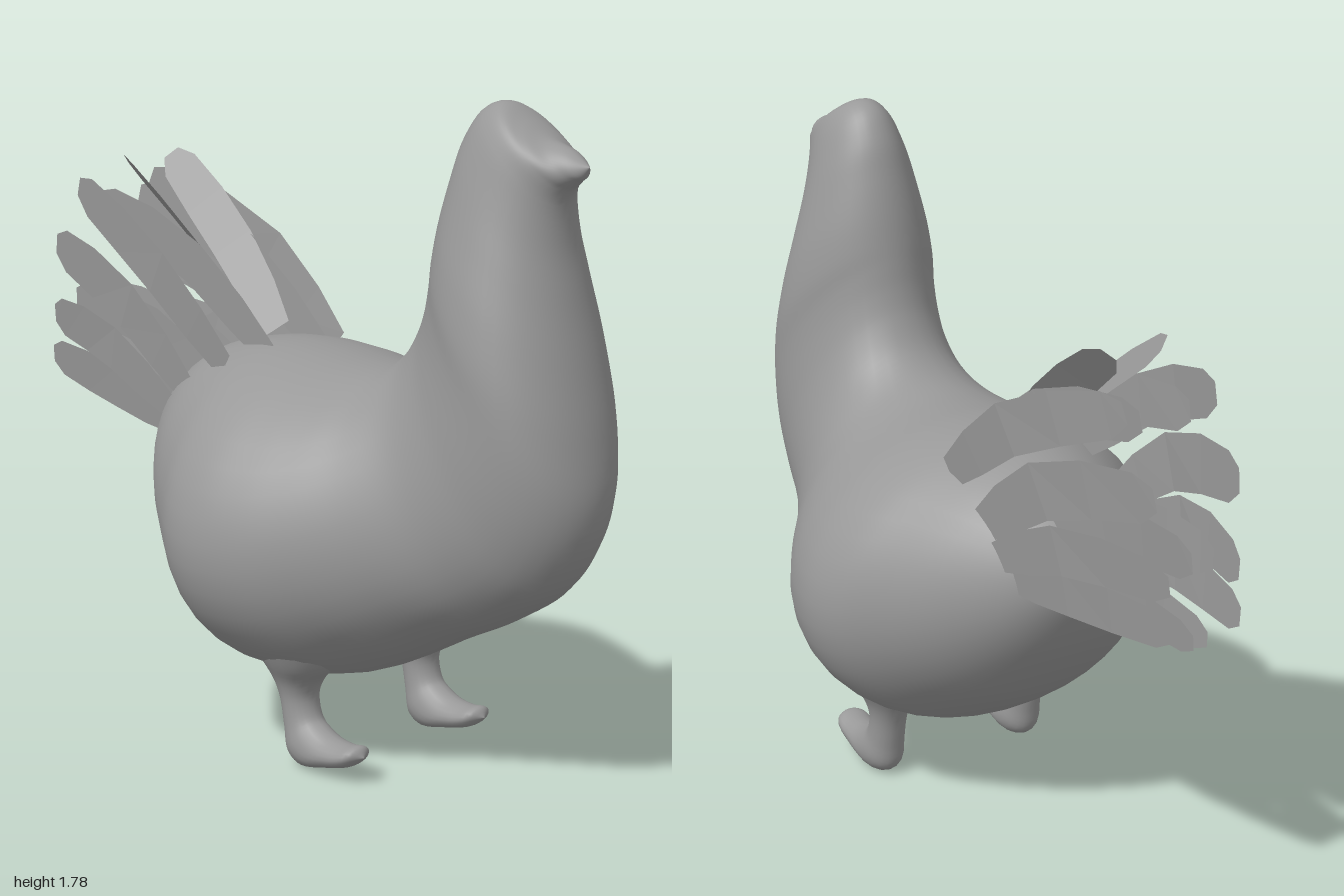
import * as THREE from 'three';

const grey = new THREE.MeshStandardMaterial({ color: 0x999999 });
const featherGrey = new THREE.MeshStandardMaterial({ color: 0x999999, flatShading: true, side: THREE.DoubleSide });

// Skin over rings. Each ring: [topX, topY, bottomX, bottomY, halfWidth].
// A ring spans its top and bottom points; pear widens its lower half.
function ringSkin(rings, steps, sides, pear) {
  const tops = new THREE.CatmullRomCurve3(rings.map(r => new THREE.Vector3(r[0], r[1], r[4])));
  const bottoms = new THREE.CatmullRomCurve3(rings.map(r => new THREE.Vector3(r[2], r[3], 0)));
  const pos = [], index = [];
  for (let i = 0; i <= steps; i++) {
    const t = tops.getPoint(i / steps), b = bottoms.getPoint(i / steps);
    for (let j = 0; j < sides; j++) {
      const a = (j / sides) * Math.PI * 2, s = Math.sin(a);
      pos.push(
        (t.x + b.x) / 2 + (t.x - b.x) / 2 * s,
        (t.y + b.y) / 2 + (t.y - b.y) / 2 * s,
        Math.max(t.z, 0) * Math.cos(a) * (1 - pear * s)
      );
      if (i < steps) {
        const k = (j + 1) % sides, p = i * sides + j, q = i * sides + k;
        index.push(p, p + sides, q, q, p + sides, q + sides);
      }
    }
  }
  const g = new THREE.BufferGeometry();
  g.setAttribute('position', new THREE.Float32BufferAttribute(pos, 3));
  g.setIndex(index);
  g.computeVertexNormals();
  return g;
}

// Thin curved blade along root, middle and tip; roll turns its width towards z.
function featherBlade(root, mid, tip, width, roll) {
  const curve = new THREE.CatmullRomCurve3([root, mid, tip].map(p => new THREE.Vector3(...p)));
  const profile = [[0, 0.6], [0.2, 0.88], [0.45, 1], [0.7, 1], [0.92, 0.85], [1, 0.4]];
  const pos = [], index = [];
  profile.forEach(([t, w], i) => {
    const p = curve.getPoint(t), d = curve.getTangent(t);
    const across = new THREE.Vector3(-d.y, d.x, 0).normalize().multiplyScalar(Math.cos(roll));
    across.z = Math.sin(roll);
    across.multiplyScalar(width * w / 2);
    pos.push(p.x + across.x, p.y + across.y, p.z + across.z);
    pos.push(p.x - across.x, p.y - across.y, p.z - across.z);
    if (i > 0) index.push(2 * i - 2, 2 * i - 1, 2 * i, 2 * i - 1, 2 * i + 1, 2 * i);
  });
  const g = new THREE.BufferGeometry();
  g.setAttribute('position', new THREE.Float32BufferAttribute(pos, 3));
  g.setIndex(index);
  g.computeVertexNormals();
  return g;
}

export function createModel() {
  const model = new THREE.Group();
  model.name = 'bird';
  const add = (name, geometry, material, parent = model) => {
    const mesh = new THREE.Mesh(geometry, material);
    mesh.name = name;
    parent.add(mesh);
    return mesh;
  };

  // Body, neck, head and beak as one skin, from the rump to the beak tip
  add('body', ringSkin([
    [-0.49, 0.77, -0.49, 0.77, 0],
    [-0.47, 0.86, -0.47, 0.70, 0.10],
    [-0.42, 0.94, -0.40, 0.56, 0.20],
    [-0.30, 1.02, -0.27, 0.40, 0.32],
    [-0.15, 1.06, -0.13, 0.29, 0.42],
    [-0.04, 1.07, 0.00, 0.22, 0.49],
    [0.08, 1.065, 0.12, 0.21, 0.51],
    [0.18, 1.055, 0.28, 0.235, 0.48],
    [0.27, 1.055, 0.42, 0.30, 0.42],
    [0.35, 1.08, 0.58, 0.39, 0.335],
    [0.42, 1.14, 0.75, 0.48, 0.265],
    [0.465, 1.22, 0.89, 0.58, 0.235],
    [0.487, 1.29, 0.97, 0.70, 0.225],
    [0.50, 1.36, 1.00, 0.82, 0.22],
    [0.51, 1.42, 0.985, 0.98, 0.218],
    [0.525, 1.50, 0.95, 1.15, 0.20],
    [0.55, 1.60, 0.91, 1.32, 0.167],
    [0.58, 1.69, 0.885, 1.45, 0.137],
    [0.63, 1.76, 0.885, 1.55, 0.11],
    [0.69, 1.78, 0.90, 1.585, 0.092],
    [0.76, 1.745, 0.915, 1.60, 0.075],
    [0.83, 1.705, 0.93, 1.612, 0.053],
    [0.90, 1.685, 0.945, 1.622, 0.032],
    [0.96, 1.65, 0.96, 1.65, 0]
  ], 110, 40, 0.06), grey);

  // Legs: flared thigh, shank and a blunt foot pointing forward
  const leg = ringSkin([
    [0.36, 0.40, 0.00, 0.40, 0.15],
    [0.30, 0.29, 0.07, 0.30, 0.10],
    [0.25, 0.235, 0.115, 0.23, 0.065],
    [0.235, 0.19, 0.135, 0.18, 0.053],
    [0.25, 0.14, 0.15, 0.10, 0.052],
    [0.28, 0.12, 0.165, 0.03, 0.058],
    [0.32, 0.105, 0.21, 0.004, 0.058],
    [0.37, 0.10, 0.30, 0.02, 0.053],
    [0.41, 0.105, 0.39, 0.048, 0.045],
    [0.43, 0.08, 0.43, 0.08, 0]
  ], 40, 20, 0);
  for (const [name, z] of [['leftLeg', 0.22], ['rightLeg', -0.22]]) {
    add(name, leg, grey).position.z = z;
  }

  // Tail feathers, mirrored across the z = 0 plane
  const tail = new THREE.Group();
  tail.name = 'tail';
  model.add(tail);
  const feathers = [
    // root, middle, tip, width, roll
    [[-0.18, 1.07, 0.03], [-0.42, 1.29, 0.06], [-0.68, 1.48, 0.08], 0.12, 0.75],
    [[-0.08, 1.03, 0.09], [-0.42, 1.25, 0.09], [-0.81, 1.35, 0.07], 0.13, 0.05],
    [[-0.13, 1.01, 0.20], [-0.44, 1.24, 0.20], [-0.83, 1.39, 0.13], 0.14, 0.1],
    [[-0.29, 0.92, 0.20], [-0.58, 1.12, 0.19], [-0.95, 1.21, 0.12], 0.15, 0.1],
    [[-0.36, 0.92, 0.06], [-0.64, 1.01, 0.04], [-0.98, 1.04, 0.03], 0.13, 0.05],
    [[-0.36, 0.86, 0.20], [-0.65, 0.98, 0.18], [-0.99, 1.00, 0.10], 0.13, 0.1],
    [[-0.38, 0.81, 0.18], [-0.66, 0.86, 0.16], [-1.00, 0.88, 0.10], 0.12, 0.1],
    [[-0.42, 0.80, 0.05], [-0.66, 0.83, 0.03], [-0.98, 0.83, 0.02], 0.10, 0.05]
  ];
  const flip = p => [p[0], p[1], -p[2]];
  feathers.forEach(([root, mid, tip, width, roll], i) => {
    add(`leftTailFeather${i + 1}`, featherBlade(root, mid, tip, width, -roll), featherGrey, tail);
    add(`rightTailFeather${i + 1}`, featherBlade(flip(root), flip(mid), flip(tip), width, roll), featherGrey, tail);
  });

  return model;
}
